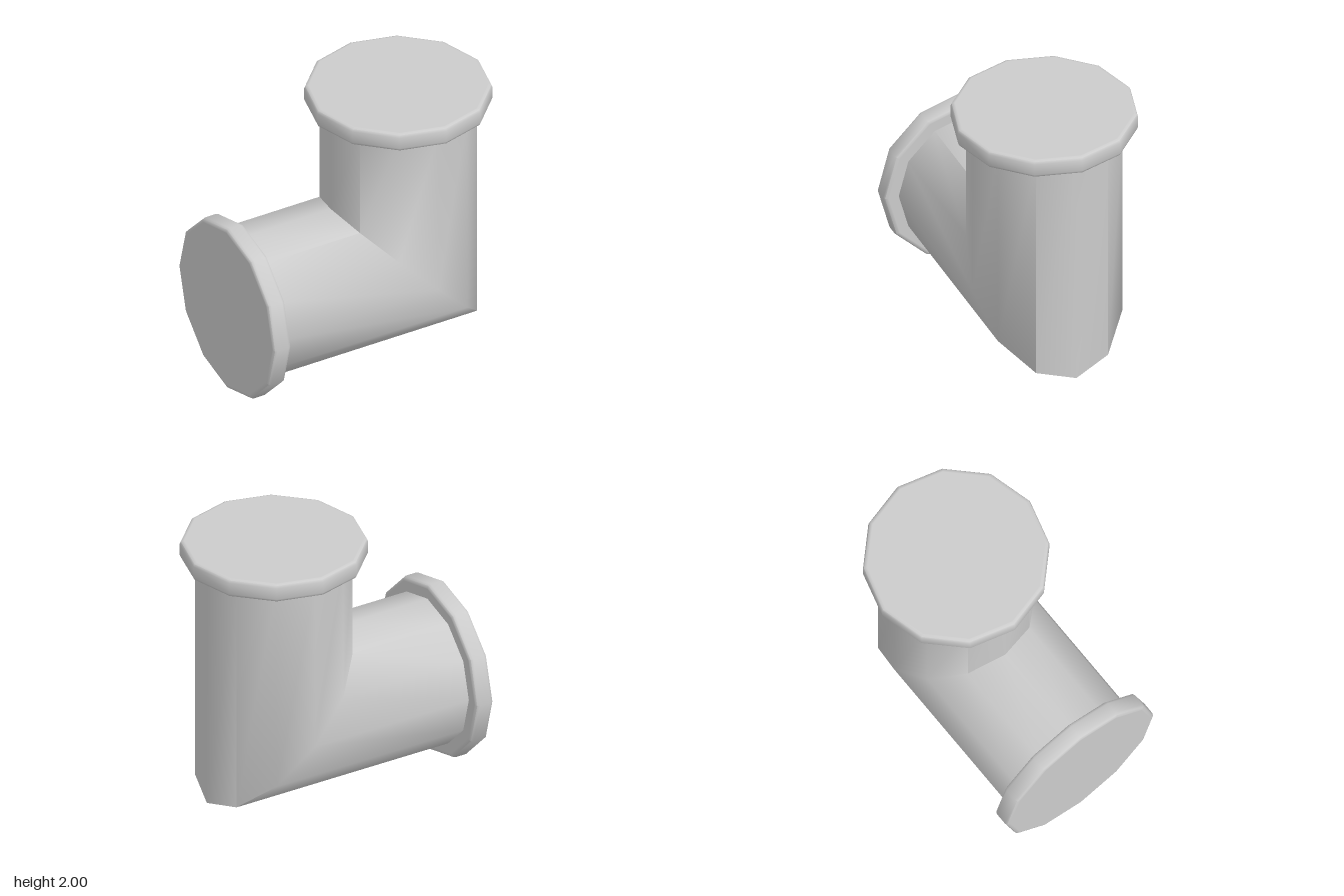
import * as THREE from 'three';
import { toCreasedNormals } from 'three/addons/utils/BufferGeometryUtils.js';

const SIDES = 12;
const AXIS_X = 0.36;      // axis of the upright arm
const AXIS_Y = 0.64;      // axis of the sideways arm
const PIPE_R = 0.535;
const FLANGE_R = 0.64;
const FLANGE_H = 0.135;
const deg = THREE.MathUtils.degToRad;

// Mitred elbow: three 12-sided rings (left end, 45 degree joint, top end)
function elbowGeometry() {
  const rings = [
    (u, z) => [-0.9, AXIS_Y - u, z],
    (u, z) => [AXIS_X + u, AXIS_Y - u, z],
    (u, z) => [AXIS_X + u, 1.9, z],
  ];
  const positions = [];
  const index = [];
  rings.forEach((place, r) => {
    for (let i = 0; i < SIDES; i++) {
      const a = (i / SIDES) * Math.PI * 2;
      positions.push(...place(PIPE_R * Math.cos(a), PIPE_R * Math.sin(a)));
      if (r === rings.length - 1) continue;
      const j = (i + 1) % SIDES;
      const p = r * SIDES + i, q = r * SIDES + j;
      index.push(p, p + SIDES, q, q, p + SIDES, q + SIDES);
    }
  });
  const geometry = new THREE.BufferGeometry();
  geometry.setAttribute('position', new THREE.Float32BufferAttribute(positions, 3));
  geometry.setIndex(index);
  return toCreasedNormals(geometry, deg(65));
}

// Closed disc with softly rounded rims
function flangeGeometry() {
  const r = 0.025;
  const half = [
    [0, 0], [FLANGE_R - r - 0.006, 0], [FLANGE_R - r, 0],
    [FLANGE_R - 0.3 * r, 0.3 * r], [FLANGE_R, r],
  ];
  const mirrored = half.map(([x, y]) => [x, FLANGE_H - y]).reverse();
  const profile = [...half, ...mirrored].map(([x, y]) => new THREE.Vector2(x, y));
  return toCreasedNormals(new THREE.LatheGeometry(profile, SIDES), deg(46));
}

export function createModel() {
  const model = new THREE.Group();
  model.name = 'pipeElbow';
  const material = new THREE.MeshStandardMaterial({ color: 0xcccccc });

  const add = (name, geometry) => {
    const mesh = new THREE.Mesh(geometry, material);
    mesh.name = name;
    model.add(mesh);
    return mesh;
  };

  add('elbowPipe', elbowGeometry());

  // End flanges
  const flange = flangeGeometry();
  add('topFlange', flange).position.set(AXIS_X, 2 - FLANGE_H, 0);
  const side = add('sideFlange', flange);
  side.position.set(-1 + FLANGE_H, AXIS_Y, 0);
  side.rotation.z = Math.PI / 2;

  return model;
}
